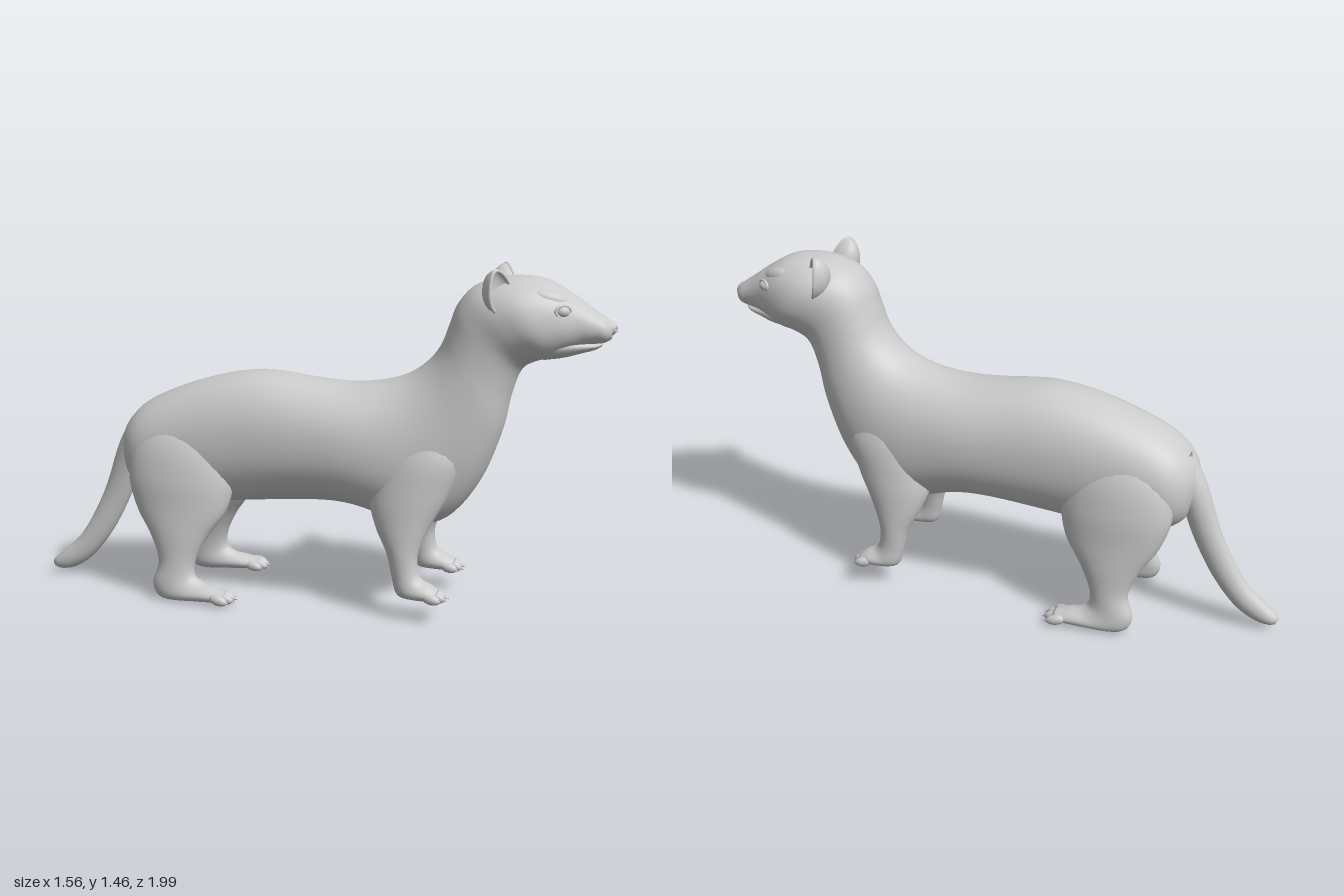
import * as THREE from 'three';

const material = new THREE.MeshStandardMaterial({ color: 0xcccccc, side: THREE.DoubleSide });

// Smooth skin through rings. Each ring: [centreX, y1, z1, y2, z2, halfWidth],
// where (y1, z1) and (y2, z2) are opposite ends of its long axis.
function loft(name, rings, { steps = 5, sides = 40, power = 0.92 } = {}) {
  const curve = f => new THREE.CatmullRomCurve3(rings.map(f), false, 'catmullrom', 0.5);
  const top = curve(r => new THREE.Vector3(r[0], r[1], r[2]));
  const bottom = curve(r => new THREE.Vector3(r[5], r[3], r[4]));
  const pos = [], index = [], n = (rings.length - 1) * steps;
  const round = v => Math.sign(v) * Math.abs(v) ** power;
  for (let i = 0; i <= n; i++) {
    const a = top.getPoint(i / n), b = bottom.getPoint(i / n);
    for (let j = 0; j < sides; j++) {
      const q = j / sides * Math.PI * 2, c = round(Math.cos(q)), s = round(Math.sin(q));
      pos.push(a.x + b.x * c, (a.y + b.y) / 2 + (a.y - b.y) / 2 * s, (a.z + b.z) / 2 + (a.z - b.z) / 2 * s);
      if (i < n) {
        const k = i * sides + j, l = i * sides + (j + 1) % sides;
        index.push(k, l, k + sides, l, l + sides, k + sides);
      }
    }
  }
  // End caps
  for (const [i, flip] of [[0, true], [n, false]]) {
    const a = top.getPoint(i / n), b = bottom.getPoint(i / n), centre = pos.length / 3;
    pos.push(a.x, (a.y + b.y) / 2, (a.z + b.z) / 2);
    for (let j = 0; j < sides; j++) {
      const k = i * sides + j, l = i * sides + (j + 1) % sides;
      index.push(centre, flip ? l : k, flip ? k : l);
    }
  }
  const geometry = new THREE.BufferGeometry();
  geometry.setAttribute('position', new THREE.Float32BufferAttribute(pos, 3));
  geometry.setIndex(index);
  geometry.computeVertexNormals();
  const mesh = new THREE.Mesh(geometry, material);
  mesh.name = name;
  return mesh;
}

function ellipsoid(name, position, size, rotation = [0, 0, 0]) {
  const mesh = new THREE.Mesh(new THREE.SphereGeometry(1, 24, 16).scale(...size), material);
  mesh.position.set(...position);
  mesh.rotation.set(...rotation);
  mesh.name = name;
  return mesh;
}

// Ear: a cup narrowing to its tip, with a thick rim and a back that runs into the head
function ear(side) {
  const group = new THREE.Group();
  group.name = side > 0 ? 'leftEar' : 'rightEar';
  const addPart = (name, geometry) => {
    const p = geometry.attributes.position;
    for (let i = 0; i < p.count; i++) p.setX(i, p.getX(i) * (1 - 3.2 * p.getY(i)));
    geometry.computeVertexNormals();
    const mesh = new THREE.Mesh(geometry, material);
    mesh.name = name;
    group.add(mesh);
  };
  const bowl = depth => new THREE.SphereGeometry(1, 28, 12, 0, Math.PI * 2, 0, Math.PI / 2)
    .rotateX(-Math.PI / 2).scale(0.066, 0.092, depth);
  addPart('earBack', bowl(0.075));
  addPart('earCup', bowl(0.03));
  addPart('earRim', new THREE.TorusGeometry(1, 0.1, 10, 32).scale(0.063, 0.087, 0.07));
  group.position.set(side * 0.15, 1.37, 0.78);
  group.rotation.set(-0.1, side * 0.6, -side * 0.2);
  return group;
}

// Four toes with small claws, fanned across the end of a paw
function toes(side, x, y, z, spread, length) {
  const group = new THREE.Group();
  group.name = 'toes';
  for (let i = 0; i < 4; i++) {
    const k = i - 1.5, tx = x + k * spread, tz = z - Math.abs(k) * 0.016;
    group.add(ellipsoid('toe', [side * tx, y, tz], [0.019, 0.022, length], [0.2, side * k * 0.1, 0]));
    const claw = new THREE.Mesh(new THREE.ConeGeometry(0.008, 0.025, 8).rotateX(Math.PI / 2 + 0.3), material);
    claw.name = 'claw';
    claw.position.set(side * (tx + k * 0.005), y - 0.008, tz + length);
    group.add(claw);
  }
  return group;
}

export function createModel() {
  const animal = new THREE.Group();
  animal.name = 'animal';

  // Trunk, neck and head in one skin, from rump to nose
  animal.add(loft('body', [
    [0, 0.67, -0.89, 0.55, -0.87, 0.05],
    [0, 0.76, -0.845, 0.47, -0.83, 0.14],
    [0, 0.85, -0.74, 0.42, -0.73, 0.195],
    [0, 0.945, -0.50, 0.40, -0.50, 0.215],
    [0, 0.99, -0.25, 0.42, -0.25, 0.225],
    [0, 0.965, 0.00, 0.44, 0.00, 0.235],
    [0, 0.955, 0.15, 0.43, 0.17, 0.24],
    [0, 0.972, 0.29, 0.365, 0.41, 0.235],
    [0, 1.01, 0.40, 0.40, 0.57, 0.22],
    [0, 1.07, 0.48, 0.56, 0.70, 0.20],
    [0, 1.14, 0.53, 0.77, 0.785, 0.185],
    [0, 1.22, 0.56, 0.93, 0.82, 0.177],
    [0, 1.31, 0.595, 1.04, 0.86, 0.18],
    [0, 1.385, 0.67, 1.08, 0.92, 0.195],
    [0, 1.422, 0.80, 1.095, 0.98, 0.197],
    [0, 1.415, 0.94, 1.12, 1.04, 0.162],
    [0, 1.36, 1.05, 1.142, 1.10, 0.118],
    [0, 1.305, 1.13, 1.155, 1.15, 0.094],
    [0, 1.265, 1.19, 1.165, 1.19, 0.077],
    [0, 1.24, 1.22, 1.18, 1.215, 0.045],
  ]));

  // Lower jaw, running back into the throat, and nose
  animal.add(loft('lowerJaw', [
    [0, 1.22, 0.92, 1.085, 0.95, 0.13],
    [0, 1.20, 1.02, 1.098, 1.03, 0.108],
    [0, 1.18, 1.10, 1.118, 1.10, 0.08],
    [0, 1.17, 1.155, 1.133, 1.15, 0.058],
    [0, 1.165, 1.182, 1.148, 1.177, 0.03],
  ], { sides: 28, power: 1 }));
  animal.add(ellipsoid('nose', [0, 1.222, 1.208], [0.04, 0.03, 0.026]));

  // Tail
  animal.add(loft('tail', [
    [0, 0.77, -0.84, 0.58, -0.78, 0.09],
    [0, 0.64, -0.915, 0.53, -0.82, 0.064],
    [0, 0.44, -0.985, 0.38, -0.88, 0.048],
    [-0.005, 0.30, -1.05, 0.22, -0.965, 0.044],
    [-0.01, 0.19, -1.12, 0.10, -1.06, 0.044],
    [-0.015, 0.12, -1.195, 0.04, -1.145, 0.04],
    [-0.015, 0.082, -1.24, 0.025, -1.21, 0.032],
    [-0.015, 0.06, -1.258, 0.03, -1.242, 0.016],
  ], { sides: 24, power: 1 }));

  for (const side of [1, -1]) {
    const label = side > 0 ? 'left' : 'right';
    const limb = (name, rings) => animal.add(
      loft(label + name, rings.map(([x, ...rest]) => [side * x, ...rest]), { sides: 28, power: 1 }));

    // Eye, lids, brow and nostril
    animal.add(ellipsoid(label + 'Eye', [side * 0.124, 1.297, 1.024], [0.024, 0.024, 0.03], [0, -side * 0.35, 0]));
    const lids = new THREE.Mesh(new THREE.TorusGeometry(0.03, 0.007, 8, 28).scale(1.1, 0.8, 1), material);
    lids.name = label + 'EyeLids';
    lids.position.set(side * 0.129, 1.297, 1.028);
    lids.rotation.set(0, side * 0.95, 0);
    animal.add(lids);
    animal.add(ellipsoid(label + 'Brow', [side * 0.085, 1.342, 0.975], [0.048, 0.036, 0.09], [0.3, -side * 0.4, 0]));
    const nostril = new THREE.Mesh(new THREE.TorusGeometry(0.01, 0.004, 8, 16), material);
    nostril.name = label + 'Nostril';
    nostril.position.set(side * 0.021, 1.22, 1.228);
    nostril.rotation.y = side * 0.5;
    animal.add(nostril, ear(side));

    // Front leg, shoulder to paw
    limb('FrontLeg', [
      [0.08, 0.88, 0.56, 0.88, 0.42, 0.06],
      [0.115, 0.70, 0.65, 0.70, 0.30, 0.112],
      [0.145, 0.54, 0.60, 0.51, 0.26, 0.107],
      [0.178, 0.41, 0.53, 0.39, 0.29, 0.082],
      [0.203, 0.29, 0.48, 0.28, 0.345, 0.06],
      [0.212, 0.21, 0.48, 0.18, 0.37, 0.05],
      [0.216, 0.175, 0.50, 0.105, 0.395, 0.053],
      [0.219, 0.155, 0.54, 0.09, 0.465, 0.058],
      [0.22, 0.135, 0.57, 0.09, 0.55, 0.052],
    ]);
    animal.add(toes(side, 0.22, 0.11, 0.568, 0.031, 0.04));

    // Hind leg, thigh to paw
    limb('HindLeg', [
      [0.08, 0.84, -0.52, 0.84, -0.68, 0.05],
      [0.115, 0.69, -0.38, 0.69, -0.79, 0.105],
      [0.145, 0.54, -0.34, 0.54, -0.815, 0.108],
      [0.17, 0.40, -0.365, 0.40, -0.775, 0.09],
      [0.2, 0.29, -0.44, 0.28, -0.70, 0.068],
      [0.218, 0.19, -0.49, 0.17, -0.66, 0.054],
      [0.228, 0.12, -0.495, 0.07, -0.685, 0.053],
      [0.233, 0.09, -0.46, 0.008, -0.64, 0.057],
      [0.242, 0.075, -0.41, 0.008, -0.48, 0.057],
      [0.248, 0.06, -0.35, 0.014, -0.36, 0.05],
    ]);
    animal.add(toes(side, 0.25, 0.034, -0.345, 0.03, 0.043));
  }

  // The animal stands at an angle to the front
  animal.rotation.y = 0.65;
  const model = new THREE.Group();
  model.name = 'model';
  model.add(animal);
  return model;
}
